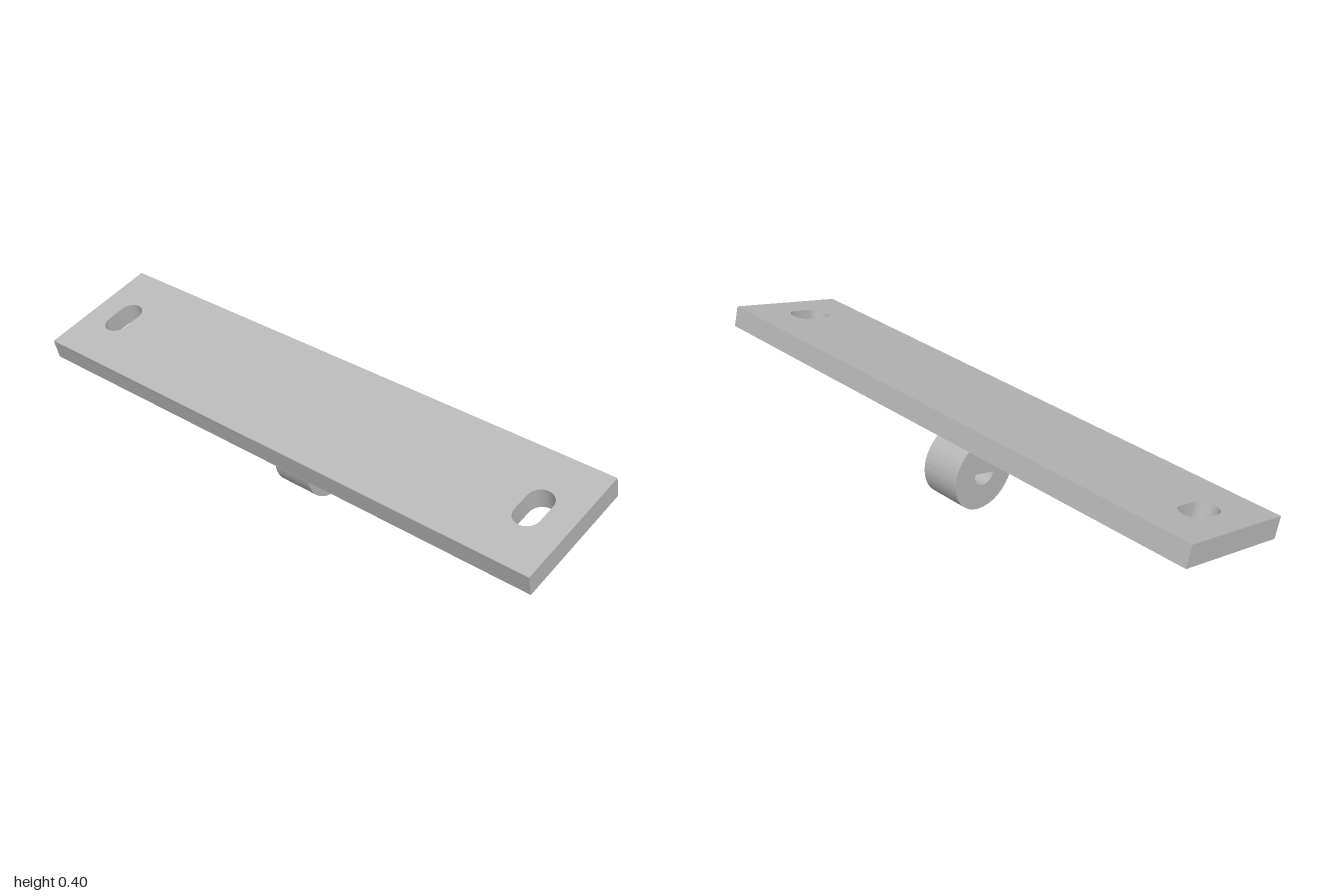
import * as THREE from 'three';
import { toCreasedNormals } from 'three/addons/utils/BufferGeometryUtils.js';

const TILT = Math.PI / 12;
const WIDTH = 0.436, THICK = 0.0725, LENGTH = 2;

// Extrude a shape centred on its depth, smooth on the curves and sharp on the edges
function extrude(shape, depth) {
  const geo = new THREE.ExtrudeGeometry(shape, { depth, bevelEnabled: false, curveSegments: 32 });
  geo.translate(0, 0, -depth / 2);
  return toCreasedNormals(geo, Math.PI / 6);
}

// Slot with round ends, long along x
function slot(cy, halfLength, r) {
  const path = new THREE.Path();
  const s = halfLength - r;
  path.absarc(s, cy, r, -Math.PI / 2, Math.PI / 2, false);
  path.absarc(-s, cy, r, Math.PI / 2, Math.PI * 1.5, false);
  path.closePath();
  return path;
}

export function createModel() {
  const model = new THREE.Group();
  const grey = new THREE.MeshStandardMaterial({ color: 0xb8b8b8 });
  grey.name = 'grey metal';

  // Everything leans together about the long axis
  const bracket = new THREE.Group();
  bracket.name = 'bracket';
  bracket.position.y = 0.308;
  bracket.rotation.z = TILT;
  model.add(bracket);

  // Mounting plate with a slot near each end
  const w = WIDTH / 2, l = LENGTH / 2;
  const outline = new THREE.Shape();
  outline.moveTo(-w, -l).lineTo(w, -l).lineTo(w, l).lineTo(-w, l).closePath();
  for (const side of [-1, 1]) outline.holes.push(slot(side * 0.865, 0.075, 0.0435));
  const plate = new THREE.Mesh(extrude(outline, THICK).rotateX(-Math.PI / 2), grey);
  plate.name = 'mountingPlate';
  bracket.add(plate);

  // Round lug with a straight neck up to the plate and a half-round hole
  const cy = -0.186, R = 0.127, neck = 0.091, r = 0.042;
  const a = Math.acos(neck / R);
  const profile = new THREE.Shape();
  profile.moveTo(neck, -THICK / 2).lineTo(-neck, -THICK / 2);
  profile.absarc(0, cy, R, Math.PI - a, Math.PI * 2 + a, false);
  profile.closePath();
  const hole = new THREE.Path();
  hole.absarc(0, cy, r, Math.PI, Math.PI * 2, false);
  hole.closePath();
  profile.holes.push(hole);
  const lug = new THREE.Mesh(extrude(profile, 0.144), grey);
  lug.name = 'lug';
  bracket.add(lug);

  return model;
}
